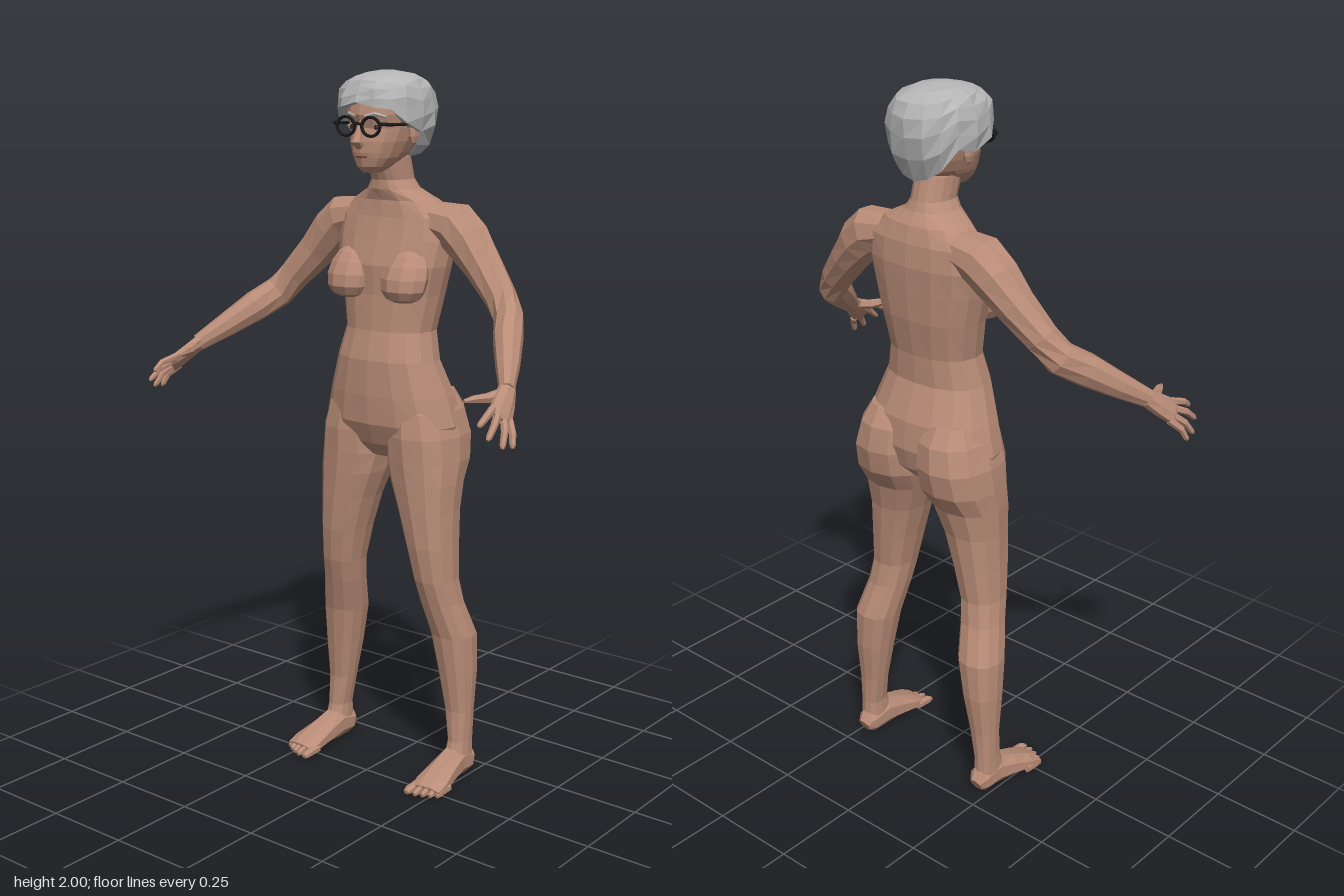
import * as THREE from 'three';

const mat = (name, color) => {
  const m = new THREE.MeshStandardMaterial({ color });
  m.name = name;
  return m;
};
const V = (p) => new THREE.Vector3(...p);

// Closed faceted skin over rings of points, always facing outwards
function skin(rings) {
  const tris = [], n = rings[0].length, last = rings.length - 1;
  const mid = (r) => r.reduce((a, p) => a.add(p), new THREE.Vector3()).divideScalar(n);
  const c0 = mid(rings[0]), c1 = mid(rings[last]);
  for (let j = 0; j < n; j++) {
    const k = (j + 1) % n;
    for (let i = 0; i < last; i++) {
      const a = rings[i][j], b = rings[i][k], c = rings[i + 1][k], d = rings[i + 1][j];
      tris.push([a, b, c], [a, c, d]);
    }
    tris.push([c0, rings[0][k], rings[0][j]], [c1, rings[last][j], rings[last][k]]);
  }
  let volume = 0;
  for (const [a, b, c] of tris) volume += a.dot(b.clone().cross(c));
  const pts = tris.flatMap(([a, b, c]) => (volume < 0 ? [a, c, b] : [a, b, c]));
  const g = new THREE.BufferGeometry().setFromPoints(pts);
  g.computeVertexNormals();
  return g;
}

// Level cross-sections: [y, x0, x1, zFront, zBack]
function stack(rows, sides = 14, e = 0.85) {
  const pw = (v) => Math.sign(v) * Math.abs(v) ** e;
  return skin(rows.map(([y, x0, x1, zf, zb]) => Array.from({ length: sides }, (_, j) => {
    const a = (j / sides) * Math.PI * 2;
    return new THREE.Vector3((x0 + x1) / 2 + pw(Math.sin(a)) * (x1 - x0) / 2, y,
      (zf + zb) / 2 + pw(Math.cos(a)) * (zf - zb) / 2);
  })));
}
const sym = (rows) => rows.map(([y, w, zf, zb]) => [y, -w, w, zf, zb]);

// Limb along a path: [x, y, z, halfWidth, halfDepth], width measured along "across"
function limb(rows, across, sides = 8) {
  const pts = rows.map((r) => V(r.slice(0, 3)));
  return skin(rows.map((r, i) => {
    const t = pts[Math.min(i + 1, pts.length - 1)].clone().sub(pts[Math.max(i - 1, 0)]).normalize();
    const u = V(across).addScaledVector(t, -V(across).dot(t)).normalize();
    const v = t.clone().cross(u);
    return Array.from({ length: sides }, (_, j) => {
      const a = ((j + 0.5) / sides) * Math.PI * 2;
      return pts[i].clone().addScaledVector(u, Math.cos(a) * r[3]).addScaledVector(v, Math.sin(a) * (r[4] ?? r[3]));
    });
  }));
}

function ball(x, y, z, rx, ry, rz, w = 10, h = 7) {
  const g = new THREE.SphereGeometry(1, w, h).scale(rx, ry, rz).translate(x, y, z).toNonIndexed();
  g.computeVertexNormals();
  return g;
}

// Mirror a geometry across x = 0, keeping faces outward
function mirrored(src) {
  const g = src.index ? src.toNonIndexed() : src.clone();
  const p = g.attributes.position, out = [];
  for (let i = 0; i < p.count; i += 3)
    for (const k of [i, i + 2, i + 1]) out.push(new THREE.Vector3(-p.getX(k), p.getY(k), p.getZ(k)));
  const m = new THREE.BufferGeometry().setFromPoints(out);
  m.computeVertexNormals();
  return m;
}

export function createModel() {
  const root = new THREE.Group();
  root.name = 'figure';
  const skinMat = mat('skin', 0xb98c77), hairMat = mat('grey hair', 0xb4b5b4);
  const frameMat = mat('black frame', 0x1c1a1a), lipMat = mat('lips', 0x8f6253);
  const eyeMat = mat('eye white', 0xc9c0b8), irisMat = mat('iris', 0x3a2c26);
  const add = (name, g, m = skinMat) => {
    const mesh = new THREE.Mesh(g, m);
    mesh.name = name;
    root.add(mesh);
  };
  const pair = (name, g, m) => {
    add('left ' + name, g, m);
    add('right ' + name, mirrored(g), m);
  };

  // Torso and neck
  add('torso', stack(sym([
    [1.77, .05, -.03, -.165], [1.71, .052, -.055, -.18], [1.685, .07, -.055, -.19],
    [1.655, .13, -.065, -.212], [1.61, .18, -.06, -.225], [1.55, .185, -.045, -.23],
    [1.48, .175, -.025, -.226], [1.4, .155, -.028, -.22], [1.3, .136, -.022, -.203],
    [1.22, .155, -.002, -.2], [1.12, .19, 0, -.238], [1.04, .212, -.005, -.245],
    [.98, .19, -.03, -.23], [.94, .06, -.06, -.19]]), 16));
  const chest = ball(.093, 1.45, -.042, .072, .085, .054, 10, 8);
  const cp = chest.attributes.position;
  for (let i = 0; i < cp.count; i++) {
    const up = Math.max(0, cp.getY(i) - 1.43);
    cp.setZ(i, cp.getZ(i) - up * .35);
    if (cp.getY(i) < 1.4) cp.setY(i, 1.4 - (1.4 - cp.getY(i)) * .5);
  }
  chest.computeVertexNormals();
  pair('chest', chest);

  // Legs
  pair('leg', stack([
    [1.13, .04, .17, -.05, -.23], [1.08, .012, .197, -.02, -.26], [1.01, .006, .218, -.012, -.27],
    [.94, .008, .224, -.015, -.255], [.88, .025, .224, -.018, -.215], [.8, .055, .221, -.022, -.195],
    [.7, .085, .222, -.028, -.185], [.6, .108, .225, -.042, -.175], [.53, .118, .235, -.062, -.185],
    [.43, .135, .26, -.09, -.218], [.32, .155, .261, -.105, -.215], [.2, .177, .256, -.12, -.2],
    [.11, .193, .254, -.115, -.196], [.06, .19, .256, -.1, -.197], [.03, .19, .254, -.11, -.195]], 12));

  // Feet and toes
  pair('foot', limb([
    [.222, .03, -.203, .02, .025], [.222, .04, -.185, .034, .04], [.222, .05, -.13, .038, .05],
    [.226, .038, -.07, .045, .038], [.231, .024, -.01, .053, .024], [.233, .015, .025, .05, .014]], [1, 0, 0]));
  [.19, .216, .237, .256, .273].forEach((x, i) => {
    const r = i ? .009 : .014, tip = [.058, .056, .048, .038, .026][i];
    pair('toe ' + (i + 1), limb([[x, .016, tip - .06, r, .013], [x, .013, tip - .015, r, .012],
      [x, .009, tip, r * .7, .007]], [1, 0, 0], 6));
  });

  // Arms
  pair('arm', limb([
    [.11, 1.605, -.145, .05, .06], [.19, 1.588, -.148, .068, .066], [.235, 1.55, -.146, .065, .062],
    [.29, 1.49, -.138, .054, .052], [.36, 1.415, -.118, .045, .043], [.402, 1.365, -.095, .046, .04],
    [.44, 1.325, -.035, .045, .04], [.49, 1.272, .04, .035, .032], [.535, 1.225, .11, .025, .02]], [0, 1, 0], 9));

  // Hands: palm, four fingers, thumb
  const across = [.41, -.6, -.69];
  pair('palm', limb([[.531, 1.23, .1, .024, .02], [.547, 1.203, .138, .033, .018],
    [.563, 1.175, .178, .038, .014], [.567, 1.168, .188, .032, .009]], across));
  const tips = [[.558, 1.163, .266], [.583, 1.132, .262], [.602, 1.107, .226], [.608, 1.102, .19]];
  tips.forEach((tip, i) => {
    const base = V([.561, 1.178, .172]).addScaledVector(V(across), (i - 1.5) * .019);
    const bend = base.clone().lerp(V(tip), .55).add(V([.006, .006, .002]));
    pair('finger ' + (i + 1), limb([[...base, .011], [...bend, .0095],
      [...bend.lerp(V(tip), .8), .008], [...tip, .004]], across, 6));
  });
  pair('thumb', limb([[.536, 1.222, .12, .015], [.517, 1.213, .168, .014], [.502, 1.214, .203, .011],
    [.49, 1.212, .232, .005]], across, 6));

  // Head and facial features
  add('head', stack(sym([
    [1.732, .022, .002, -.05], [1.748, .042, .018, -.1], [1.772, .06, .024, -.14],
    [1.785, .066, .027, -.16], [1.815, .078, .027, -.18], [1.85, .086, .02, -.195],
    [1.885, .09, .032, -.2], [1.94, .085, .022, -.19], [1.97, .05, -.02, -.15]]), 16, .92));
  add('nose', limb([[0, 1.87, .018, .008, .008], [0, 1.84, .03, .011, .012],
    [0, 1.814, .042, .017, .015], [0, 1.8, .03, .012, .008]], [1, 0, 0], 6));
  add('lips', ball(0, 1.777, .024, .024, .006, .006, 8, 4), lipMat);
  pair('ear', ball(.092, 1.838, -.088, .012, .034, .02, 7, 5));
  pair('eye', ball(.041, 1.853, .008, .017, .008, .005, 8, 4), eyeMat);
  pair('iris', ball(.041, 1.853, .012, .007, .007, .004, 6, 4), irisMat);
  pair('brow', limb([[.015, 1.882, .026, .004], [.042, 1.889, .019, .005], [.068, 1.88, -.001, .003]], [0, 1, 0], 5), hairMat);

  // Glasses
  pair('lens rim', new THREE.TorusGeometry(.029, .005, 5, 16).scale(1.06, .85, 1).translate(.042, 1.855, .035), frameMat);
  pair('temple', limb([[.07, 1.863, .034, .005], [.093, 1.862, .02, .005], [.096, 1.86, -.075, .004],
    [.096, 1.845, -.1, .003]], [0, 1, 0.2], 5), frameMat);
  add('bridge', limb([[-.013, 1.86, .037, .004], [0, 1.864, .04, .004], [.013, 1.86, .037, .004]], [0, 1, 0], 5), frameMat);

  // Hair: rounded cap with a short fringe and a longer back
  const profile = [[1.76, .7], [1.8, .86], [1.85, .98], [1.9, 1], [1.945, .95], [1.975, .8], [1.992, .5], [2, .12]];
  const radiusAt = (y) => {
    const i = Math.max(1, profile.findIndex((p) => p[0] >= y - 1e-6));
    const [a, b] = [profile[i - 1], profile[i]];
    return a[1] + (b[1] - a[1]) * (y - a[0]) / (b[0] - a[0]);
  };
  const edge = [1.918, 1.905, 1.9, 1.865, 1.84, 1.855, 1.8, 1.775, 1.765];
  const levels = [0, 0, .25, .5, .7, .85, .95, 1];
  const hairRings = levels.map((t, i) => Array.from({ length: 16 }, (_, j) => {
    const a = (j / 16) * Math.PI * 2, low = edge[Math.min(j, 16 - j)];
    const y = low + (2 - low) * t;
    const wobble = i > 0 && i < 6 ? 1 + .025 * Math.sin(j * 2.4 + i * 1.9) : 1;
    const r = radiusAt(y) * wobble * (i ? 1 : .72);
    const sx = Math.sign(Math.sin(a)) * Math.abs(Math.sin(a)) ** .85;
    const sz = Math.sign(Math.cos(a)) * Math.abs(Math.cos(a)) ** .85;
    return new THREE.Vector3(sx * r * .123, y, -.09 + sz * r * .139);
  }));
  add('hair', skin(hairRings), hairMat);

  return root;
}
